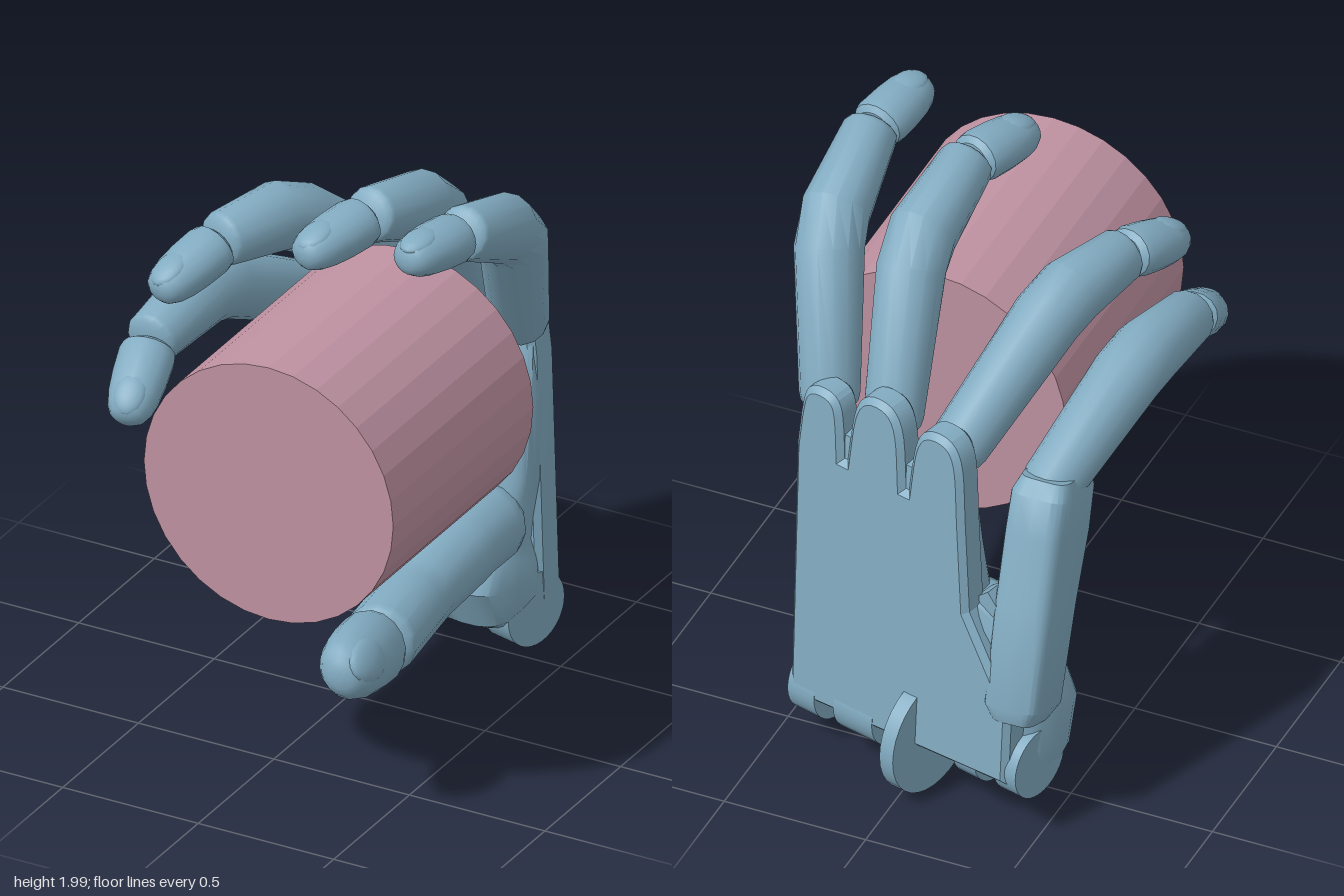
import * as THREE from 'three';
import { toCreasedNormals } from 'three/addons/utils/BufferGeometryUtils.js';

const V = (x, y, z) => new THREE.Vector3(x, y, z);
const skin = new THREE.MeshStandardMaterial({ color: 0x82abc1 });
const rose = new THREE.MeshStandardMaterial({ color: 0xbf92a2, flatShading: true });

function add(parent, name, geometry, material = skin) {
  const mesh = new THREE.Mesh(geometry, material);
  mesh.name = name;
  parent.add(mesh);
  return mesh;
}

// Closed skin over rings { p, rx, ry }; up sets the ry direction, power < 1 squares the section
function loft(rings, up, sides = 16, power = 1) {
  const pos = [], index = [];
  const n = rings.length;
  const bend = (v) => Math.sign(v) * Math.abs(v) ** power;
  rings.forEach((ring, i) => {
    const t = rings[Math.min(i + 1, n - 1)].p.clone().sub(rings[Math.max(i - 1, 0)].p).normalize();
    const s = up.clone().cross(t).normalize();
    const u = t.clone().cross(s);
    for (let j = 0; j < sides; j++) {
      const a = (j / sides) * Math.PI * 2;
      const q = ring.p.clone().addScaledVector(s, bend(Math.cos(a)) * ring.rx)
        .addScaledVector(u, bend(Math.sin(a)) * ring.ry);
      pos.push(q.x, q.y, q.z);
      if (i === n - 1) continue;
      const k = i * sides + j, m = i * sides + (j + 1) % sides;
      index.push(k, m, k + sides, m, m + sides, k + sides);
    }
  });
  for (const [i, flip] of [[0, 1], [n - 1, 0]]) {
    const c = pos.length / 3, p = rings[i].p;
    pos.push(p.x, p.y, p.z);
    for (let j = 0; j < sides; j++) {
      const k = i * sides + j, m = i * sides + (j + 1) % sides;
      index.push(c, flip ? m : k, flip ? k : m);
    }
  }
  const g = new THREE.BufferGeometry();
  g.setAttribute('position', new THREE.Float32BufferAttribute(pos, 3));
  g.setIndex(index);
  return toCreasedNormals(g, 0.6);
}

const ring = (p, rx, ry = rx) => ({ p, rx, ry });

// Rounded end: rings shrinking from radius r along dir
function dome(p, dir, r, depth = 0.8) {
  return [0, 0.35, 0.65, 0.88, 0.98].map((s) =>
    ring(p.clone().addScaledVector(dir, s * r * depth), r * Math.sqrt(1 - s * s)));
}

// Bent limb through points with radii, rounded at both ends
function limb(points, radii, up) {
  const n = points.length;
  const d0 = points[0].clone().sub(points[1]).normalize();
  const d1 = points[n - 1].clone().sub(points[n - 2]).normalize();
  const rings = dome(points[0], d0, radii[0]).reverse();
  for (let i = 1; i < n - 1; i++) {
    // two rings around each bend give a bevelled knuckle
    rings.push(ring(points[i].clone().lerp(points[i - 1], 0.13), radii[i]));
    rings.push(ring(points[i].clone().lerp(points[i + 1], 0.17), radii[i]));
  }
  rings.push(...dome(points[n - 1], d1, radii[n - 1], 0.4));
  return loft(rings, up, 14);
}

// Last joint with its nail
function fingertip(parent, a, b, r, up) {
  const at = (t) => a.clone().lerp(b, t);
  const profile = [[-0.06, 0.7], [0, 0.95], [0.1, 1.02], [0.4, 1], [0.65, 0.93], [0.82, 0.81], [0.93, 0.63], [0.985, 0.38], [1, 0.1]];
  add(parent, 'fingertip', loft(profile.map(([t, k]) => ring(at(t), r * k, r * k * 0.88)), up, 16));
  const t = b.clone().sub(a).normalize();
  const s = up.clone().cross(t).normalize();
  const u = t.clone().cross(s);
  const nail = add(parent, 'nail', new THREE.SphereGeometry(1, 18, 10));
  nail.scale.set(r * 0.58, r * 0.28, r * 0.78);
  nail.quaternion.setFromRotationMatrix(new THREE.Matrix4().makeBasis(s, u, t));
  nail.rotateX(0.22);
  nail.position.copy(at(0.72)).addScaledVector(u, r * 0.53);
}

function finger(parent, name, points, radii, up) {
  const g = new THREE.Group();
  g.name = name;
  parent.add(g);
  const tip = points[points.length - 1];
  const body = points.slice(0, -1);
  add(g, 'phalanges', limb(body, radii, up));
  const joint = body[body.length - 1];
  fingertip(g, joint.clone().lerp(tip, 0.14), tip, radii[radii.length - 1], up);
}

// Disc standing in the plane across the palm
function disc(parent, name, u, y, w, r, width) {
  const m = add(parent, name, new THREE.CylinderGeometry(r, r, width, 32));
  m.rotation.z = Math.PI / 2;
  m.position.set(u, y, w);
}

function buildPalm(parent) {
  const palm = new THREE.Group();
  palm.name = 'palm';
  palm.position.z = -0.6;
  palm.rotation.y = -0.26;
  parent.add(palm);

  // back plate with three knuckle humps split by grooves
  const s = new THREE.Shape();
  s.moveTo(-0.44, 0.24);
  s.lineTo(0.42, 0.2);
  for (const [r, l, top] of [[0.44, 0.285, 1.37], [0.235, 0.03, 1.43], [-0.02, -0.215, 1.41]]) {
    const c = (r + l) / 2;
    s.lineTo(r, 1.14);
    s.lineTo(r - 0.01, 1.26);
    s.bezierCurveTo(r - 0.02, top - 0.04, c + 0.06, top, c, top);
    s.bezierCurveTo(c - 0.06, top, l + 0.02, top - 0.04, l + 0.01, 1.26);
    s.lineTo(l, 1.14);
  }
  s.lineTo(-0.25, 0.8);
  s.lineTo(-0.44, 0.5);
  const plate = new THREE.ExtrudeGeometry(s, { depth: 0.07, bevelSize: 0.02, bevelThickness: 0.02, bevelSegments: 1, curveSegments: 8 });
  const p = plate.attributes.position;
  for (let i = 0; i < p.count; i++) p.setZ(i, p.getZ(i) - 0.11 + 0.06 * p.getY(i));
  add(palm, 'backPlate', toCreasedNormals(plate, 0.3));

  // fleshy front: y, centre u, half width, back w, front w
  const sections = [[0.21, -0.03, 0.46, -0.08, 0.19], [0.26, -0.03, 0.48, -0.08, 0.25], [0.37, -0.02, 0.48, -0.08, 0.31],
    [0.5, -0.01, 0.465, -0.08, 0.26], [0.62, 0.03, 0.425, -0.07, 0.19], [0.76, 0.1, 0.36, -0.06, 0.12],
    [1.0, 0.11, 0.35, -0.05, 0.09], [1.18, 0.115, 0.34, -0.04, 0.07], [1.25, 0.115, 0.33, -0.03, 0.04]];
  add(palm, 'palmFlesh', loft(sections.map(([y, u, h, b, f]) => ring(V(u, y, (b + f) / 2), h, (f - b) / 2)), V(0, 0, 1), 32, 0.55));

  // wrist hinge lugs and central fin
  disc(palm, 'wristFin', -0.06, 0.21, -0.02, 0.21, 0.055);
  disc(palm, 'wristLug', -0.45, 0.26, 0.02, 0.125, 0.09);
  disc(palm, 'wristLug', -0.28, 0.25, 0.02, 0.125, 0.09);
  disc(palm, 'wristLug', 0.17, 0.21, 0.01, 0.13, 0.16);
  disc(palm, 'wristLug', 0.385, 0.2, 0.01, 0.13, 0.11);

  // hooked tab reaching for the little finger's bone
  const tab = add(palm, 'hookTab', new THREE.BoxGeometry(0.24, 0.12, 0.08));
  tab.position.set(-0.25, 0.75, 0.03);
  tab.rotation.z = -0.7;
}

export function createModel() {
  const model = new THREE.Group();
  model.name = 'handHoldingCylinder';
  const hand = new THREE.Group();
  hand.name = 'hand';
  model.add(hand);

  buildPalm(hand);

  // separate bone of the little finger
  const bone = [[0.43, -0.42, -0.72, 0.07, 0.1], [0.48, -0.42, -0.7, 0.1, 0.13], [0.8, -0.41, -0.575, 0.105, 0.14],
    [1.02, -0.405, -0.475, 0.105, 0.16], [1.16, -0.405, -0.43, 0.105, 0.15], [1.21, -0.405, -0.415, 0.085, 0.11]];
  add(hand, 'littleFingerBone', loft(bone.map(([y, x, z, rx, ry]) => ring(V(x, y, z), rx, ry)), V(0, 0, 1), 24, 0.45));

  const up = V(0, 1, -0.1);
  const radii = [0.1, 0.116, 0.093];
  finger(hand, 'littleFinger', [V(-0.4, 1.17, -0.43), V(-0.5, 1.39, 0.02), V(-0.525, 1.34, 0.36), V(-0.475, 1.17, 0.63)], radii, up);
  finger(hand, 'ringFinger', [V(-0.12, 1.31, -0.53), V(-0.28, 1.65, -0.1), V(-0.365, 1.66, 0.18), V(-0.45, 1.57, 0.47)], radii, up);
  finger(hand, 'middleFinger', [V(0.14, 1.31, -0.47), V(0.2, 1.77, -0.18), V(0.17, 1.88, 0.16), V(0.08, 1.84, 0.47)], radii, up);
  finger(hand, 'indexFinger', [V(0.39, 1.29, -0.42), V(0.5, 1.76, -0.18), V(0.51, 1.9, 0.16), V(0.455, 1.92, 0.455)], radii, up);

  // thumb, nail turned outward
  finger(hand, 'thumb', [V(0.3, 0.54, -0.36), V(0.29, 0.53, -0.2), V(0.29, 0.475, 0.08), V(0.36, 0.505, 0.44), V(0.43, 0.575, 0.835)],
    [0.14, 0.14, 0.122, 0.124], V(0.85, 0.5, 0));

  // held cylinder
  const can = add(model, 'heldCylinder', new THREE.CylinderGeometry(0.46, 0.46, 0.925, 32), rose);
  can.rotation.x = Math.PI / 2;
  can.position.set(0.155, 1.16, 0.35);
  return model;
}
